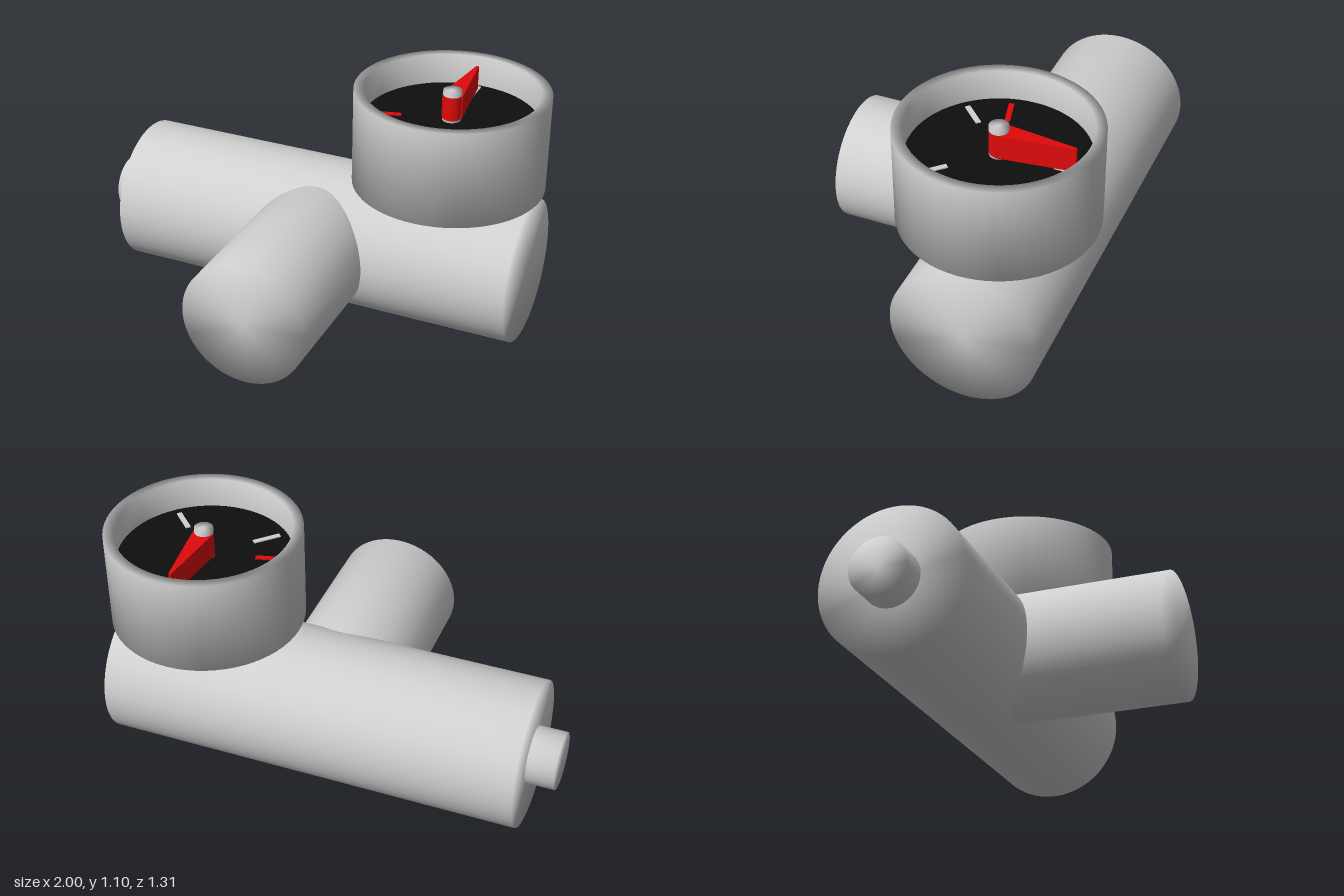
import * as THREE from 'three';
import { mergeVertices } from 'three/addons/utils/BufferGeometryUtils.js';

const body = new THREE.MeshStandardMaterial({ color: 0xd0d0d0 });
body.name = 'light grey';
const black = new THREE.MeshStandardMaterial({ color: 0x0e0e0e });
black.name = 'dial black';
const red = new THREE.MeshStandardMaterial({ color: 0xe00a0a });
red.name = 'needle red';

// Welds a geometry so its shading runs smoothly over the rims
function weld(geometry) {
  geometry.deleteAttribute('uv');
  geometry.deleteAttribute('normal');
  const welded = mergeVertices(geometry, 1e-4);
  welded.computeVertexNormals();
  return welded;
}

function add(parent, name, geometry, material, x = 0, y = 0, z = 0) {
  const mesh = new THREE.Mesh(geometry, material);
  mesh.name = name;
  mesh.position.set(x, y, z);
  parent.add(mesh);
  return mesh;
}

const rod = (radius, length) => weld(new THREE.CylinderGeometry(radius, radius, length, 64));

export function createModel() {
  const model = new THREE.Group();
  model.name = 'gaugeValve';
  const axisY = 0.318, axisZ = -0.24;

  // Pipes: main run, small end stub and front branch
  add(model, 'mainPipe', rod(0.317, 1.835), body, 0.04, axisY, axisZ).rotation.z = Math.PI / 2;
  add(model, 'endStub', rod(0.124, 0.2), body, -0.9, axisY, axisZ).rotation.z = Math.PI / 2;
  add(model, 'frontBranch', rod(0.278, 0.895), body, 0.038, axisY, 0.207).rotation.x = Math.PI / 2;

  // Gauge on its neck
  const gauge = new THREE.Group();
  gauge.name = 'gauge';
  gauge.position.set(0.584, 0, axisZ);
  model.add(gauge);
  add(gauge, 'neck', rod(0.14, 0.16), body, 0, 0.62, 0);

  const cup = [[0, 0.678], [0.414, 0.678], [0.414, 1.103], [0.37, 1.103], [0.37, 0.96]];
  const cupShape = new THREE.LatheGeometry(cup.map(([r, y]) => new THREE.Vector2(r, y)), 64);
  add(gauge, 'housing', weld(cupShape), body);

  const dialY = 0.968;
  add(gauge, 'dial', new THREE.CircleGeometry(0.371, 64), black, 0, dialY, 0).rotation.x = -Math.PI / 2;

  // Scale marks, angle measured clockwise from the back
  const marks = [[0, 0.29, body], [135, 0.275, body], [225, 0.275, body], [256, 0.272, red]];
  for (const [degrees, radius, material] of marks) {
    const a = THREE.MathUtils.degToRad(degrees);
    const mark = add(gauge, 'scaleMark', new THREE.BoxGeometry(0.022, 0.005, 0.12), material,
      Math.sin(a) * radius, dialY + 0.0025, -Math.cos(a) * radius);
    mark.rotation.y = -a;
  }

  // Tall tapered needle with a round hub end
  const needle = new THREE.Shape();
  needle.moveTo(0.006, 0.318);
  needle.lineTo(-0.006, 0.318);
  needle.lineTo(-0.045, 0);
  needle.absarc(0, 0, 0.04, Math.PI, Math.PI * 2, false);
  needle.lineTo(0.045, 0);
  needle.closePath();
  const needleShape = new THREE.ExtrudeGeometry(needle, { depth: 0.105, bevelEnabled: false, curveSegments: 16 });
  add(gauge, 'needle', needleShape, red, 0, 0.977, 0).rotation.x = -Math.PI / 2;
  add(gauge, 'needlePin', weld(new THREE.CylinderGeometry(0.04, 0.04, 0.138, 32)), body, 0, 1.035, 0);

  return model;
}
